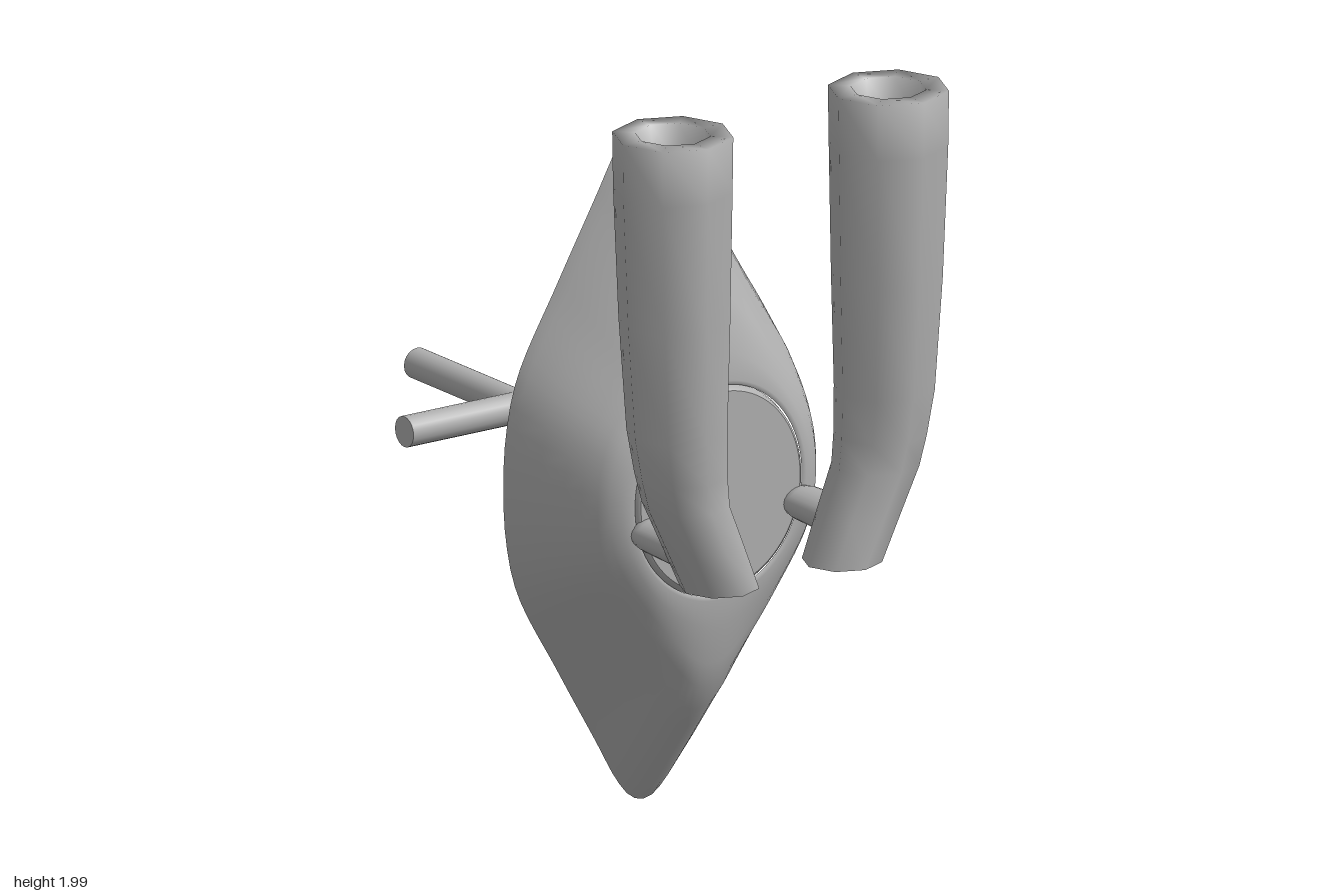
import * as THREE from 'three';

const CX = -0.015, CY = 0.92; // centre of the hull
const grey = new THREE.MeshStandardMaterial({ color: 0xb0b0b0 });
grey.name = 'plain grey';

// Skin a list of closed cross-sections (arrays of Vector3)
function loft(rings) {
  const n = rings[0].length, pos = [], idx = [];
  rings.forEach(r => r.forEach(p => pos.push(p.x, p.y, p.z)));
  for (let i = 0; i < rings.length - 1; i++) {
    for (let j = 0; j < n; j++) {
      const k = (j + 1) % n, a = i * n + j, b = i * n + k;
      idx.push(a, b, a + n, b, b + n, a + n);
    }
  }
  const g = new THREE.BufferGeometry();
  g.setAttribute('position', new THREE.Float32BufferAttribute(pos, 3));
  g.setIndex(idx);
  g.computeVertexNormals();
  return g;
}

function add(parent, name, geometry) {
  const m = new THREE.Mesh(geometry, grey);
  m.name = name;
  parent.add(m);
  return m;
}

// Pointed-oval outline, mirrored from one quarter and scaled to unit half sizes
const quarter = [[0.44, 0], [0.432, 0.14], [0.4, 0.28], [0.27, 0.52], [0.15, 0.73], [0.085, 0.845], [0.04, 0.898], [0, 0.912]]
  .map(([x, y]) => new THREE.Vector2(x / 0.44, y / 0.912));
const flip = (pts, sx, sy) => pts.map(p => new THREE.Vector3(p.x * sx, p.y * sy, 0));
const outline = new THREE.CatmullRomCurve3([
  ...flip(quarter, 1, 1), ...flip(quarter.slice(0, -1).reverse(), -1, 1),
  ...flip(quarter.slice(1), -1, -1), ...flip(quarter.slice(1, -1).reverse(), 1, -1),
], true, 'centripetal').getSpacedPoints(96).slice(0, 96);

// Hull section: half sizes at depth z, blended towards an ellipse by mix
function section([z, hx, hy, mix = 0]) {
  return outline.map(p => {
    const a = Math.atan2(p.y, p.x);
    const x = THREE.MathUtils.lerp(p.x, Math.cos(a), mix);
    const y = THREE.MathUtils.lerp(p.y, Math.sin(a), mix);
    return new THREE.Vector3(CX + x * hx, CY + y * hy, z);
  });
}

function buildHull() {
  const hull = new THREE.Group();
  hull.name = 'hull';
  add(hull, 'frontShell', loft([
    [0.125, 0.44, 0.912], [0.16, 0.438, 0.872], [0.25, 0.415, 0.758], [0.32, 0.387, 0.668],
    [0.365, 0.365, 0.61, 0.05], [0.405, 0.343, 0.54, 0.15], [0.43, 0.325, 0.47, 0.3],
    [0.45, 0.298, 0.37, 0.65], [0.461, 0.272, 0.292, 1], [0.455, 0.262, 0.28, 1],
  ].map(section)));
  // Oval pad on the front
  add(hull, 'frontPadEdge', loft([[0.44, 0.263, 0.28, 1], [0.46, 0.257, 0.273, 1], [0.465, 0.25, 0.266, 1]].map(section)));
  add(hull, 'frontPad', loft([[0.465, 0.25, 0.266, 1], [0.465, 0, 0, 1]].map(section)));
  // Hollow back with a rounded rim
  add(hull, 'backRim', loft([
    [0.222, 0.3, 0.7], [0.212, 0.318, 0.728], [0.17, 0.345, 0.775], [0.135, 0.375, 0.82],
    [0.122, 0.4, 0.855], [0.12, 0.425, 0.89], [0.125, 0.44, 0.912],
  ].map(section)));
  add(hull, 'backFloor', loft([[0.222, 0, 0, 1], [0.222, 0.25, 0.27, 1], [0.222, 0.3, 0.7]].map(section)));
  add(hull, 'backPadEdge', loft([[0.207, 0.25, 0.266, 1], [0.212, 0.257, 0.273, 1], [0.224, 0.26, 0.277, 1]].map(section)));
  add(hull, 'backPad', loft([[0.207, 0, 0, 1], [0.207, 0.25, 0.266, 1]].map(section)));
  return hull;
}

// Crossed handle behind the hull
function buildHandle() {
  const handle = new THREE.Group();
  handle.name = 'handle';
  const pole = add(handle, 'pole', new THREE.CylinderGeometry(0.041, 0.041, 1.1, 20));
  pole.rotation.x = Math.PI / 2;
  pole.position.set(CX, CY, -0.32);
  const bar = add(handle, 'crossbar', new THREE.CylinderGeometry(0.041, 0.041, 0.73, 20));
  bar.rotation.z = Math.PI / 2;
  bar.position.set(CX, CY, -0.415);
  const collar = add(handle, 'poleCollar', new THREE.CylinderGeometry(0.041, 0.075, 0.03, 20, 1, true));
  collar.rotation.x = -Math.PI / 2;
  collar.position.set(CX, CY, 0.193);
  return handle;
}

// Eight-sided horizontal section of a tube
function octagon([x, y, r], side) {
  return Array.from({ length: 8 }, (_, i) => {
    const a = i * Math.PI / 4;
    return new THREE.Vector3(side * x + Math.cos(a) * r, y, 0.708 - Math.sin(a) * r);
  });
}

function buildTube(side) {
  const tube = new THREE.Group();
  tube.name = side > 0 ? 'leftTube' : 'rightTube';
  const skin = list => loft(list.map(s => octagon(s, side)));
  // Bent wall, rolled over the lip into the bore
  add(tube, 'tubeWall', skin([
    [0.193, 0.76, 0.104], [0.245, 0.88, 0.109], [0.298, 1.0, 0.114], [0.313, 1.08, 0.121], [0.326, 1.2, 0.131],
    [0.334, 1.5, 0.145], [0.339, 1.85, 0.155], [0.339, 2, 0.157], [0.339, 2, 0.098],
    [0.339, 1.9, 0.085], [0.339, 1.82, 0.05], [0.339, 1.8, 0],
  ]));
  add(tube, 'tubeEnd', skin([[0.193, 0.76, 0], [0.193, 0.76, 0.104]]));
  // Oval peg joining tube and hull
  const profile = [[0, -0.12], [0.035, -0.117], [0.053, -0.1], [0.06, -0.07], [0.066, 0.08], [0.066, 0.1], [0, 0.1]]
    .map(([r, y]) => new THREE.Vector2(r, y));
  const geo = new THREE.LatheGeometry(profile, 20);
  geo.scale(1, 1, 0.74);
  const peg = add(tube, 'peg', geo);
  peg.rotation.x = Math.PI / 2;
  peg.position.set(side * 0.238, 0.848, 0.558);
  return tube;
}

export function createModel() {
  const model = new THREE.Group();
  model.name = 'model';
  model.add(buildHull(), buildHandle(), buildTube(1), buildTube(-1));
  return model;
}
